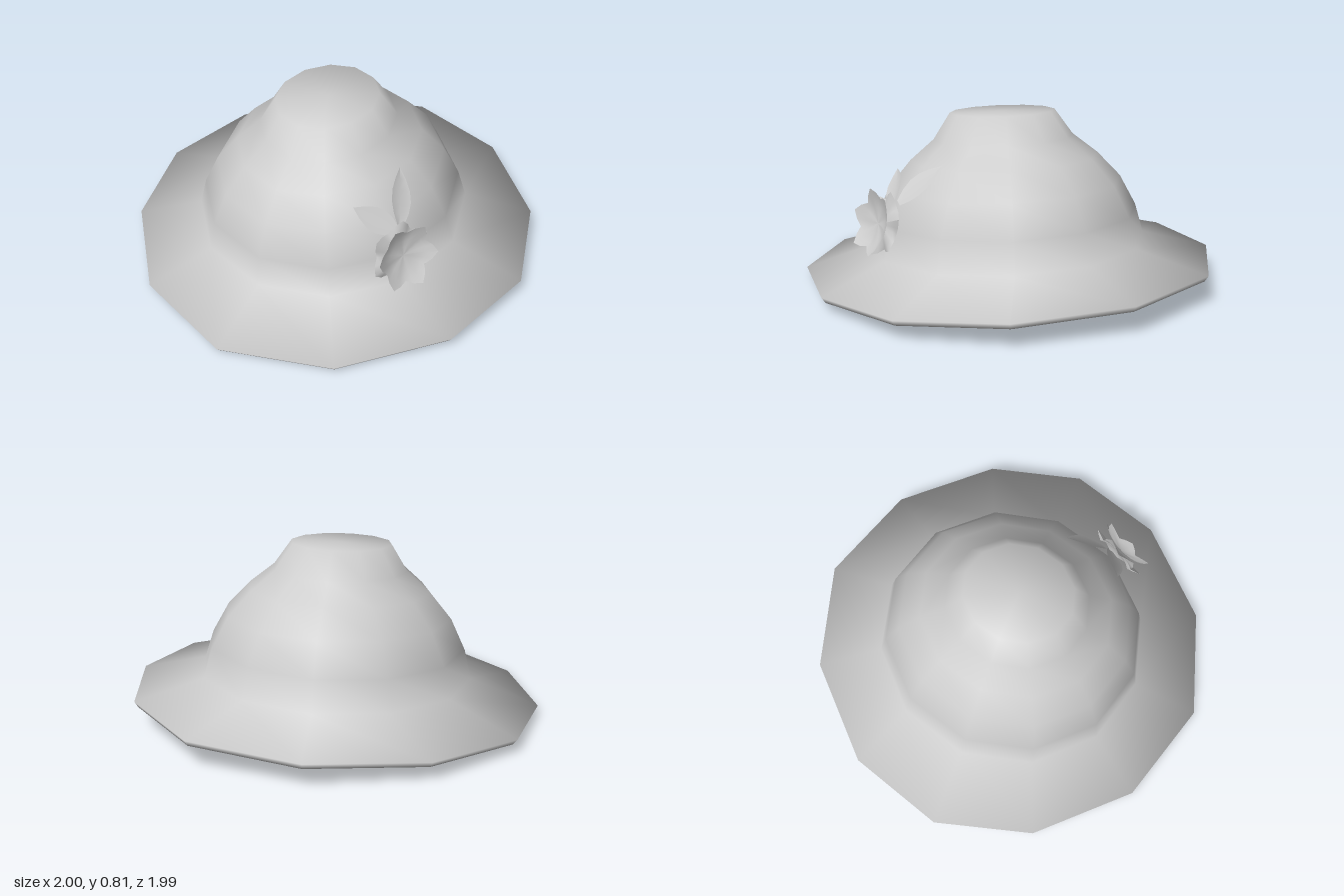
import * as THREE from 'three';

const material = new THREE.MeshStandardMaterial({ color: 0xcccccc });
const thin = new THREE.MeshStandardMaterial({ color: 0xcccccc, side: THREE.DoubleSide });
const v = (x, y, z) => new THREE.Vector3(x, y, z);

// Twelve-sided turned body whose normals blend evenly over every ring, slightly oval in the crown
function hatGeometry(profile) {
  const sides = 12;
  const g = new THREE.LatheGeometry(profile.map(([r, y]) => new THREE.Vector2(r, y)), sides);
  const p = g.attributes.position;
  const steps = profile.slice(1).map(([r, y], i) =>
    new THREE.Vector2(y - profile[i][1], profile[i][0] - r).normalize());
  const rings = profile.map((_, j) => {
    const n = (steps[j - 1] ?? new THREE.Vector2()).clone();
    return n.add(steps[j] ?? new THREE.Vector2()).normalize();
  });
  for (let i = 0; i < p.count; i++) {
    const n = rings[i % profile.length];
    const a = Math.floor(i / profile.length) / sides * Math.PI * 2;
    g.attributes.normal.setXYZ(i, n.x * Math.sin(a), n.y, n.x * Math.cos(a));
    const x = p.getX(i);
    if (Math.hypot(x, p.getZ(i)) > 0.9) p.setZ(i, p.getZ(i) * (1 - 0.1 * x * x));
    else p.setX(i, x * (1 - 0.115 * p.getY(i)));
  }
  return g;
}

// Cupped six-pointed bloom facing +z, with wavy tips
function bloomGeometry(radius, depth, turn) {
  const g = new THREE.RingGeometry(0.002, radius, 24, 4);
  const p = g.attributes.position;
  for (let i = 0; i < p.count; i++) {
    const r = Math.hypot(p.getX(i), p.getY(i)) / radius;
    const wave = Math.cos(6 * Math.atan2(p.getY(i), p.getX(i)));
    const s = 1 - 0.13 * r * (1 - wave);
    p.setXYZ(i, p.getX(i) * s, p.getY(i) * s, depth * r * r + 0.012 * wave * r * r);
  }
  g.rotateZ(turn);
  g.computeVertexNormals();
  return g;
}

// Pointed leaf from base to tip, folded on its midrib and facing the given normal
function leaf(base, tip, normal) {
  const y = tip.clone().sub(base);
  const length = y.length();
  y.normalize();
  const x = y.clone().cross(normal).normalize();
  const g = new THREE.PlaneGeometry(1, 1, 2, 5);
  const p = g.attributes.position;
  for (let i = 0; i < p.count; i++) {
    const t = p.getY(i) + 0.5;
    const w = Math.sin(Math.PI * (0.1 + 0.9 * t));
    p.setXYZ(i, p.getX(i) * w * 0.11, t * length, 0.02 * Math.abs(p.getX(i)) * w);
  }
  g.computeVertexNormals();
  const mesh = new THREE.Mesh(g, thin);
  mesh.name = 'leaf';
  mesh.quaternion.setFromRotationMatrix(new THREE.Matrix4().makeBasis(x, y, x.clone().cross(y)));
  mesh.position.copy(base);
  return mesh;
}

export function createModel() {
  const model = new THREE.Group();
  model.name = 'sunHat';

  // Hat: hollowed underside, brim edge, brim, crown and flat top
  const hat = new THREE.Mesh(hatGeometry([
    [0, 0.15], [0.62, 0.148], [0.98, 0.056], [0.998, 0.082],
    [0.665, 0.175], [0.632, 0.315], [0.562, 0.46], [0.455, 0.58],
    [0.338, 0.675], [0.255, 0.797], [0, 0.797],
  ]), material);
  hat.name = 'hat';
  hat.rotation.set(0.055, 0.01, 0.0125);
  hat.position.z = -0.008;
  model.add(hat);

  // Flower on the left front of the crown, two layers deep
  const flower = new THREE.Group();
  flower.name = 'flower';
  flower.position.set(0.53, 0.33, 0.335);
  flower.quaternion.setFromUnitVectors(v(0, 0, 1), v(0.85, 0.26, 0.42).normalize());
  for (const [name, radius, depth, turn, lift] of [
    ['outerPetals', 0.155, -0.01, 0.5, 0.03],
    ['innerPetals', 0.155, 0.035, 0, 0.045],
  ]) {
    const layer = new THREE.Mesh(bloomGeometry(radius, depth, turn), thin);
    layer.name = name;
    layer.position.z = lift;
    flower.add(layer);
  }
  model.add(flower);

  // Two leaves above the flower
  model.add(
    leaf(v(0.51, 0.42, 0.31), v(0.34, 0.545, 0.4), v(0.6, 0.6, 0.5)),
    leaf(v(0.51, 0.43, 0.28), v(0.41, 0.6, 0.11), v(0.8, 0.55, 0.2)),
  );
  return model;
}
